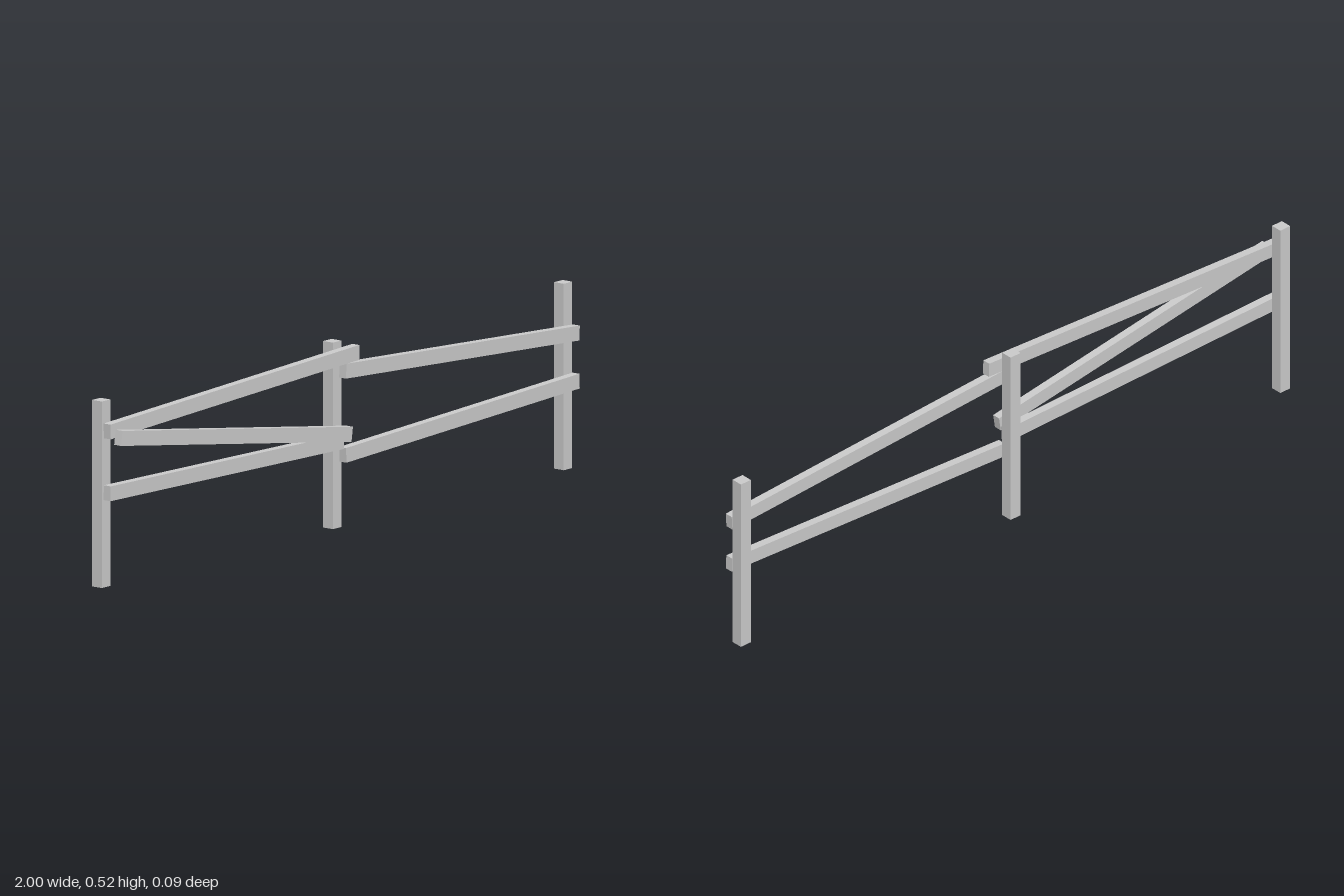
import * as THREE from 'three';

export function createModel() {
  const group = new THREE.Group();
  const material = new THREE.MeshStandardMaterial({ color: 0xcccccc, flatShading: true });

  const addBox = (name, size, position, tilt = 0) => {
    const mesh = new THREE.Mesh(new THREE.BoxGeometry(...size), material);
    mesh.name = name;
    mesh.position.set(...position);
    mesh.rotation.z = tilt;
    group.add(mesh);
  };

  // Upright posts, standing behind the rails
  const postHeight = 0.516;
  [['rightPost', -0.981], ['middlePost', -0.002], ['leftPost', 0.977]].forEach(([name, x]) =>
    addBox(name, [0.036, postHeight, 0.034], [x, postHeight / 2, -0.0255]));

  // A plank laid between two end centres
  const addRail = (name, x1, y1, x2, y2, z) => {
    const dx = x2 - x1, dy = y2 - y1;
    addBox(name, [Math.hypot(dx, dy), 0.041, 0.024],
      [(x1 + x2) / 2, (y1 + y2) / 2, z], Math.atan2(dy, dx));
  };

  // Crooked rails nailed to the front of the posts
  const railZ = 0.0045;
  addRail('upperRightRail', -0.992, 0.434, 0.063, 0.479, railZ);
  addRail('lowerRightRail', -0.992, 0.263, -0.003, 0.243, railZ);
  addRail('upperLeftRail', 0.007, 0.436, 0.996, 0.377, railZ);
  addRail('lowerLeftRail', 0.007, 0.203, 0.996, 0.244, railZ);

  // Fallen diagonal plank in front of the right-hand bay
  addRail('diagonalRail', -0.979, 0.418, -0.002, 0.267, 0.033);

  return group;
}
